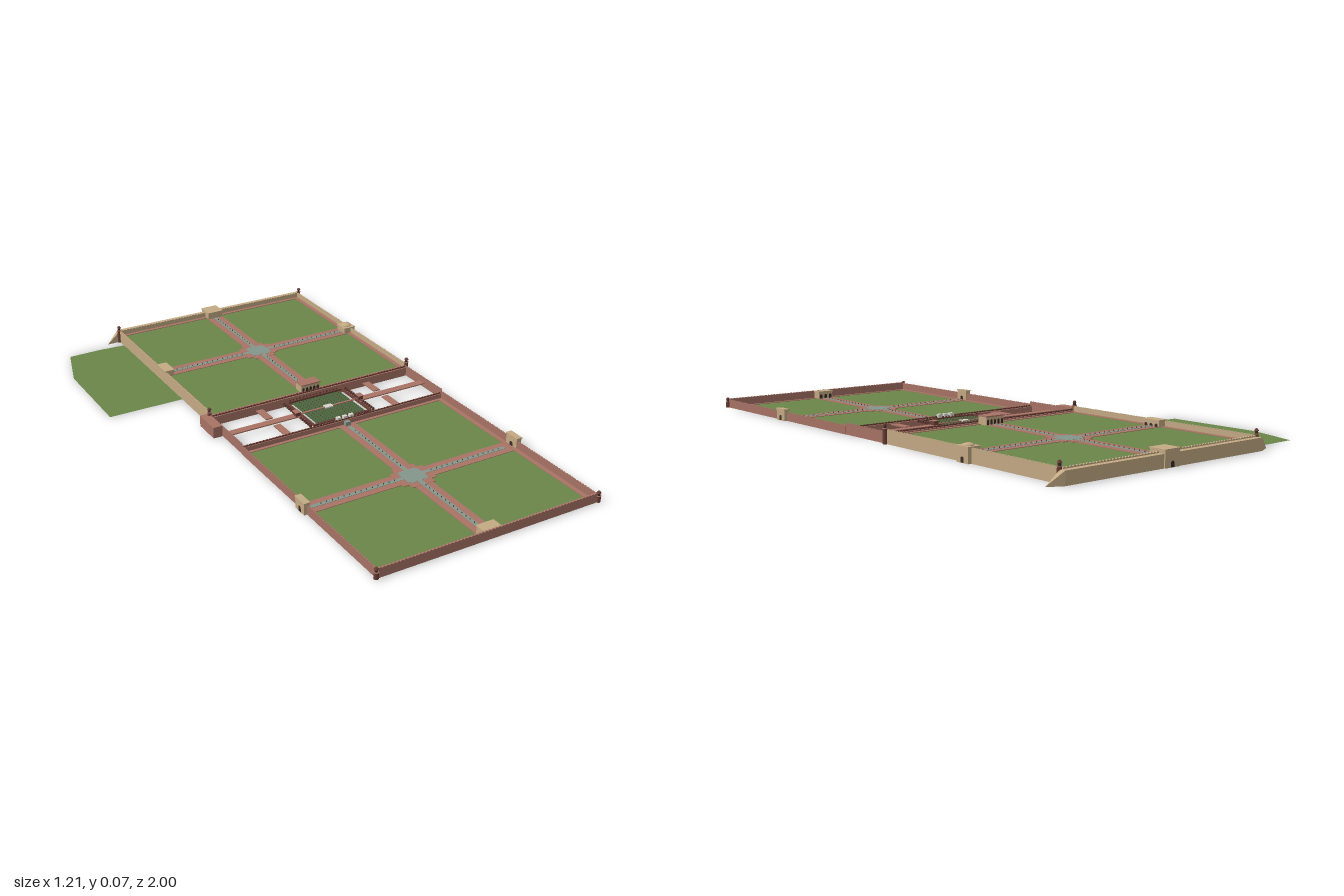
import * as THREE from 'three';
import { mergeGeometries } from 'three/addons/utils/BufferGeometryUtils.js';
import { ConvexGeometry } from 'three/addons/geometries/ConvexGeometry.js';

export function createModel() {
  const root = new THREE.Group();
  root.name = 'terracedGarden';
  const mat = (name, color, side = THREE.FrontSide) => {
    const m = new THREE.MeshStandardMaterial({ color, side });
    m.name = name;
    return m;
  };
  const grass = mat('grass', 0x6a864a, THREE.DoubleSide);
  const brick = mat('brick', 0xa87365, THREE.DoubleSide);
  const sand = mat('sandstone', 0xc4aa84, THREE.DoubleSide);
  const water = mat('canalWater', 0x84978c);
  const pond = mat('pondWater', 0x4a663e);
  const maroon = mat('maroonStone', 0x6b3f36);
  const marble = mat('marble', 0xd8d6cc);
  const dark = mat('darkOpening', 0x3a2c28);

  const CX = 0.117, X0 = -0.306, X1 = 0.54;

  const add = (name, geo, m, parent = root) => {
    const mesh = new THREE.Mesh(geo, m);
    mesh.name = name;
    parent.add(mesh);
    return mesh;
  };
  const boxGeo = (x0, x1, y0, y1, z0, z1) =>
    new THREE.BoxGeometry(x1 - x0, y1 - y0, z1 - z0)
      .translate((x0 + x1) / 2, (y0 + y1) / 2, (z0 + z1) / 2);
  const box = (name, m, x0, x1, y0, y1, z0, z1, parent) =>
    add(name, boxGeo(x0, x1, y0, y1, z0, z1), m, parent);

  // Wall between two ground points, with small pointed merlons along the top
  function wall(name, m, xa, za, xb, zb, y0, y1, thick = 0.006) {
    const len = Math.hypot(xb - xa, zb - za);
    const n = Math.round(len / 0.013), step = len / n;
    const s = new THREE.Shape();
    s.moveTo(0, y0);
    s.lineTo(len, y0);
    for (let i = n; i > 0; i--) {
      s.lineTo(i * step, y1 - 0.004);
      s.lineTo((i - 0.2) * step, y1 - 0.001);
      s.lineTo((i - 0.5) * step, y1);
      s.lineTo((i - 0.8) * step, y1 - 0.001);
    }
    s.lineTo(0, y1 - 0.004);
    const g = new THREE.ExtrudeGeometry(s, { depth: thick, bevelEnabled: false });
    g.translate(0, 0, -thick / 2);
    g.rotateY(-Math.atan2(zb - za, xb - xa));
    g.translate(xa, 0, za);
    return add(name, g, m);
  }

  // Octagonal corner tower with an open kiosk and dome
  function tower(x, z, h) {
    const t = new THREE.Group();
    t.name = 'cornerTower';
    t.position.set(x, 0, z);
    root.add(t);
    const body = h - 0.02;
    const cyl = (name, r0, r1, hh, y, m) =>
      add(name, new THREE.CylinderGeometry(r1, r0, hh, 8).translate(0, y + hh / 2, 0), m, t);
    cyl('towerShaft', 0.0085, 0.0075, body, 0, maroon);
    cyl('towerBalcony', 0.009, 0.009, 0.002, body, brick);
    cyl('kioskCore', 0.005, 0.005, 0.009, body + 0.002, dark);
    cyl('kioskEave', 0.0085, 0.007, 0.002, body + 0.011, maroon);
    add('kioskDome', new THREE.SphereGeometry(0.006, 10, 5, 0, Math.PI * 2, 0, Math.PI / 2)
      .translate(0, body + 0.013, 0), maroon, t);
  }

  // Four-part garden: lawn, rim path, crossing paths, canals, central basin, fountains
  function garden(name, y, z0, z1) {
    const g = new THREE.Group();
    g.name = name;
    root.add(g);
    const cz = (z0 + z1) / 2;
    box('lawn', grass, X0, X1, y - 0.001, y, z0, z1, g);
    const p = y + 0.002, r = 0.018;
    box('rimPath', brick, X0, X0 + r, y, p, z0, z1, g);
    box('rimPath', brick, X1 - r, X1, y, p, z0, z1, g);
    box('rimPath', brick, X0 + r, X1 - r, y, p, z0, z0 + r, g);
    box('rimPath', brick, X0 + r, X1 - r, y, p, z1 - r, z1, g);
    box('longPath', brick, CX - 0.034, CX + 0.034, y, p, z0 + r, z1 - r, g);
    box('crossPath', brick, X0 + r, X1 - r, y, p - 0.0003, cz - 0.033, cz + 0.033, g);
    box('plaza', brick, CX - 0.066, CX + 0.066, y, p + 0.0003, cz - 0.045, cz + 0.045, g);
    box('plaza', brick, CX - 0.045, CX + 0.045, y, p + 0.0005, cz - 0.066, cz + 0.066, g);
    const b = y - 0.0015, c = p + 0.001;
    box('longCanal', water, CX - 0.008, CX + 0.008, b, c, z0 + 0.03, z1 - 0.03, g);
    box('crossCanal', water, X0 + 0.025, X1 - 0.035, b, c - 0.0002, cz - 0.008, cz + 0.008, g);
    box('basin', water, CX - 0.04, CX + 0.04, b - 0.0002, c + 0.0004, cz - 0.034, cz + 0.034, g);
    box('basin', water, CX - 0.034, CX + 0.034, b - 0.0003, c + 0.0002, cz - 0.04, cz + 0.04, g);
    const jets = [];
    for (let d = 0.075; d < 0.37; d += 0.022) {
      for (const s of [-1, 1]) {
        jets.push(new THREE.CylinderGeometry(0.0012, 0.002, 0.005, 6).translate(CX + s * d, c + 0.002, cz));
        jets.push(new THREE.CylinderGeometry(0.0012, 0.002, 0.005, 6).translate(CX, c + 0.002, cz + s * d));
      }
    }
    add('fountains', mergeGeometries(jets), maroon, g);
  }

  // Gatehouse block: flat roof slab and arched openings on its two broad faces
  function gate(name, x0, x1, z0, z1, y0, h, roof, arches) {
    const g = new THREE.Group();
    g.name = name;
    root.add(g);
    box('gateBlock', sand, x0, x1, y0, h - 0.004, z0, z1, g);
    box('gateRoof', roof, x0 - 0.002, x1 + 0.002, h - 0.004, h, z0 - 0.002, z1 + 0.002, g);
    const alongX = x1 - x0 > z1 - z0;
    const lo = alongX ? x0 : z0, span = alongX ? x1 - x0 : z1 - z0;
    const w = Math.min(0.008, span / arches / 3.2), ah = Math.min(0.02, (h - y0) * 0.6);
    for (let i = 0; i < arches; i++) {
      const c = lo + span * (i + 0.5) / arches;
      const s = new THREE.Shape();
      s.moveTo(-w, 0);
      s.lineTo(w, 0);
      s.lineTo(w, ah * 0.65);
      s.quadraticCurveTo(w, ah * 0.9, 0, ah);
      s.quadraticCurveTo(-w, ah * 0.9, -w, ah * 0.65);
      for (const side of [0, 1]) {
        const a = add('archOpening', new THREE.ShapeGeometry(s, 4), dark, g);
        a.rotation.y = (alongX ? 0 : Math.PI / 2) + (side ? 0 : Math.PI);
        if (alongX) a.position.set(c, y0 + 0.001, side ? z1 + 0.0006 : z0 - 0.0006);
        else a.position.set(side ? x1 + 0.0006 : x0 - 0.0006, y0 + 0.001, c);
      }
    }
    return g;
  }

  // Terraces and the meadow outside the upper wall
  garden('upperGarden', 0.028, -0.97, -0.12);
  garden('lowerGarden', 0.003, 0.125, 0.985);
  const meadow = new THREE.Shape([[-0.604, 0.355], [-0.308, 0.355], [-0.308, 0.925], [-0.42, 0.932], [-0.545, 0.928], [-0.604, 0.73]]
    .map(([x, y]) => new THREE.Vector2(x, y)));
  add('meadow', new THREE.ShapeGeometry(meadow).rotateX(-Math.PI / 2).translate(0, 0.001, 0), grass);

  // Enclosing walls, mirrored left and right
  for (const x of [X0 - 0.002, X1 + 0.002]) {
    wall('upperSideWall', sand, x, -0.97, x, -0.12, 0, 0.05);
    wall('middleSideWall', brick, x, -0.12, x, 0.13, 0, 0.042, 0.002);
    wall('lowerSideWall', brick, x, 0.13, x, 0.985, 0, 0.032);
  }
  wall('backWall', sand, X0, -0.97, X1, -0.97, 0, 0.05);
  wall('frontWall', brick, X0, 0.985, X1, 0.985, 0, 0.036);
  box('upperRetainingWall', brick, X0, X1, 0, 0.034, -0.123, -0.107);
  wall('upperParapet', maroon, X0, -0.114, X1, -0.114, 0.034, 0.04, 0.004);
  box('lowerRetainingWall', brick, X0, X1, 0, 0.022, 0.115, 0.13);
  wall('lowerParapet', maroon, X0, 0.125, X1, 0.125, 0.022, 0.028, 0.003);

  // Battered bank behind the back wall
  const bank = [];
  for (const [x, out] of [[-0.31, -0.365], [0.55, 0.602]])
    bank.push([out, 0, -0.968], [x, 0, -0.994], [x, 0.044, -0.972], [x, 0.044, -0.994]);
  add('backBank', new ConvexGeometry(bank.map(p => new THREE.Vector3(...p))), sand);

  // Corner towers
  for (const x of [-0.312, 0.548]) {
    tower(x, -0.968, 0.072);
    tower(x, -0.118, 0.072);
    tower(x, 0.986, 0.042);
  }

  // Gates and pavilions
  gate('backGate', 0.085, 0.15, -0.998, -0.935, 0, 0.058, sand, 1);
  gate('terracePavilion', 0.078, 0.156, -0.168, -0.126, 0.028, 0.061, brick, 5);
  gate('upperLeftPavilion', -0.31, -0.274, -0.58, -0.508, 0.02, 0.054, sand, 3);
  const east = gate('upperRightGate', 0.51, 0.558, -0.572, -0.516, 0, 0.053, sand, 1);
  add('gateDome', new THREE.SphereGeometry(0.02, 12, 5, 0, Math.PI * 2, 0, Math.PI / 2)
    .scale(1, 0.4, 1).translate(0.534, 0.053, -0.544), sand, east);
  gate('lowerLeftGate', -0.322, -0.302, 0.525, 0.582, 0, 0.044, sand, 1);
  gate('lowerRightGate', 0.536, 0.556, 0.525, 0.582, 0, 0.044, sand, 1);
  gate('frontGate', 0.085, 0.15, 0.945, 0.984, 0.002, 0.035, sand, 3);
  box('bathHouse', brick, -0.345, -0.31, 0, 0.042, -0.13, -0.02);

  // Middle terrace: walkways and central pond
  const my = 0.02, MZ = 0.004;
  const mid = new THREE.Group();
  mid.name = 'middleTerrace';
  root.add(mid);
  for (const [a, b] of [[X0, -0.008], [0.242, X1]])
    box('axisWalk', brick, a, b, my - 0.004, my, MZ - 0.015, MZ + 0.015, mid);
  for (const x of [-0.117, 0.348])
    for (const [a, b] of [[-0.1, -0.022], [0.032, 0.115]])
      box('sideWalk', brick, x - 0.014, x + 0.014, my - 0.004, my, a, b, mid);
  box('pond', pond, 0.015, 0.219, my - 0.004, my, MZ - 0.09, MZ + 0.09, mid);
  for (const s of [-1, 1]) {
    box('pondEdge', maroon, CX + s * 0.12 - 0.004, CX + s * 0.12 + 0.004, my - 0.004, my + 0.003, MZ - 0.104, MZ + 0.104, mid);
    box('pondEdge', maroon, CX - 0.116, CX + 0.116, my - 0.004, my + 0.003, MZ + s * 0.1 - 0.003, MZ + s * 0.1 + 0.003, mid);
    const kx = CX + s * 0.136;
    box('pondKiosk', maroon, kx - 0.009, kx + 0.009, my - 0.004, my + 0.014, MZ - 0.012, MZ + 0.012, mid);
    box('pondKioskRoof', brick, kx - 0.011, kx + 0.011, my + 0.014, my + 0.016, MZ - 0.014, MZ + 0.014, mid);
  }
  box('causeway', brick, -0.01, 0.244, my, my + 0.003, MZ - 0.004, MZ + 0.004, mid);
  box('pondIsland', marble, CX - 0.016, CX + 0.016, my, my + 0.005, MZ - 0.011, MZ + 0.011, mid);

  // Pond fountains and the ring of balustrade posts
  const jets = [], posts = [];
  for (let i = -6; i <= 6; i++)
    for (let j = -5; j <= 5; j++)
      if (j !== 0) jets.push(new THREE.ConeGeometry(0.002, 0.005, 5).translate(CX + i * 0.0155, my + 0.0025, MZ + j * 0.016));
  for (const s of [-1, 1])
    for (let i = -7; i <= 7; i++) {
      const x = CX + s * 0.134, z = MZ + i * 0.014;
      if (Math.abs(i) > 1) posts.push(boxGeo(x - 0.004, x + 0.004, my - 0.004, my + 0.006, z - 0.003, z + 0.003));
      const px = CX + i * 0.0145, pz = MZ + s * 0.111;
      posts.push(boxGeo(px - 0.003, px + 0.003, my - 0.004, my + 0.006, pz - 0.003, pz + 0.003));
    }
  add('pondFountains', mergeGeometries(jets), maroon, mid);
  add('balustradePosts', mergeGeometries(posts), maroon, mid);

  // Marble cascade and small pavilions above the lower garden
  for (const x of [0.09, 0.117, 0.144])
    box('cascadePavilion', marble, x - 0.008, x + 0.008, 0.022, 0.035, 0.112, 0.126, mid);
  box('cascade', water, CX - 0.01, CX + 0.01, 0.003, 0.02, 0.13, 0.145, mid);
  return root;
}
